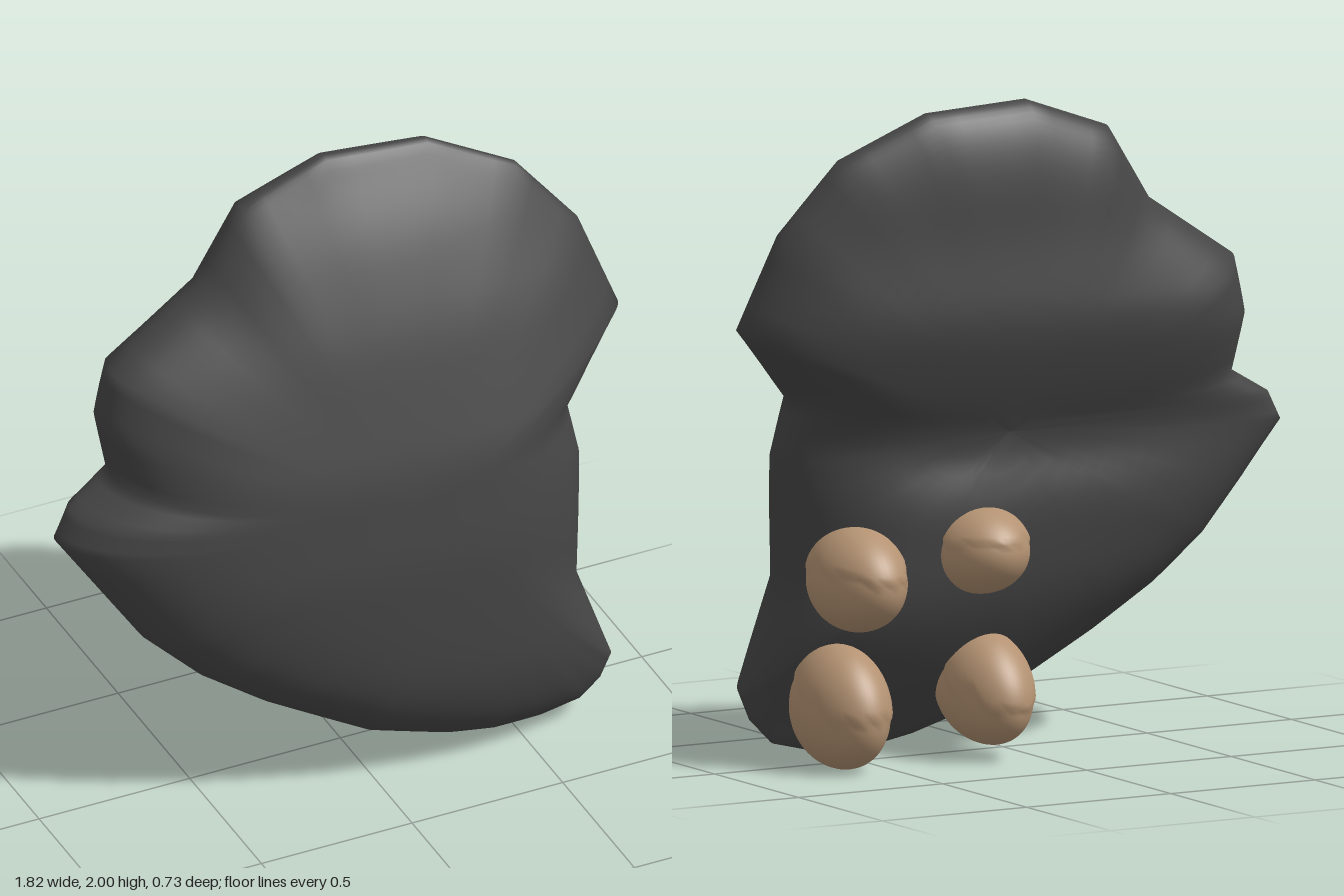
import * as THREE from 'three';

// Piecewise-linear curve through [y, value] pairs
function sample(curve, y) {
  let i = 1;
  while (i < curve.length - 1 && curve[i][0] < y) i++;
  const [y0, a] = curve[i - 1], [y1, b] = curve[i];
  return THREE.MathUtils.lerp(a, b, THREE.MathUtils.clamp((y - y0) / (y1 - y0), 0, 1));
}

// The same curve with its corners rounded
function smooth(curve, y) {
  let sum = 0;
  for (let k = -2; k <= 2; k++) sum += sample(curve, y + k * 0.03);
  return sum / 5;
}

// Slab rim, anticlockwise from the top: x, y, z
const RIM = [[0.03, 2, -0.18], [-0.25, 1.9, -0.18], [-0.4, 1.67, -0.16], [-0.71, 1.47, -0.12], [-0.75, 1.3, -0.11],
  [-0.72, 1.11, -0.1], [-0.86, 1.03, -0.09], [-0.91, 0.94, -0.08], [-0.68, 0.6, 0.03], [-0.52, 0.45, 0.07],
  [-0.33, 0.32, 0.09], [0, 0.13, 0.1], [0.26, 0.05, 0.11], [0.42, 0.02, 0.11], [0.58, 0.02, 0.12],
  [0.71, 0.05, 0.15], [0.77, 0.12, 0.18], [0.8, 0.21, 0.2], [0.7, 0.52, 0.14], [0.74, 0.92, 0.06],
  [0.71, 1.11, 0.02], [0.91, 1.34, 0.02], [0.81, 1.63, -0.05], [0.63, 1.85, -0.1], [0.36, 1.98, -0.16]];
// Depth of the crests of the front and back faces at each height
const FRONT = [[0, 0.35], [0.2, 0.365], [0.35, 0.372], [0.8, 0.355], [1.1, 0.3], [1.5, 0.155], [1.8, 0.02], [2, -0.1]];
const BACK = [[0, 0], [0.1, -0.02], [0.35, -0.15], [0.5, -0.21], [0.78, -0.245], [0.97, -0.205], [1.15, -0.29],
  [1.32, -0.345], [1.6, -0.315], [1.84, -0.315], [2, -0.31]];
// Where the back crest lies in x, and how fast the back falls off to its +x side
const BACK_CREST = [[0.4, 0.25], [1.2, -0.2]];
const BACK_FALL = [[0.5, 0.5], [1.1, 0.15]];

function frontFace(x, y) {
  const d = x - 0.3;
  return smooth(FRONT, y) - (d > 0 ? 0.3 : 0.13) * d * d;
}

function backFace(x, y) {
  const d = x - smooth(BACK_CREST, y);
  return smooth(BACK, y) + (d > 0 ? smooth(BACK_FALL, y) : 0.05) * d * d;
}

// Slab: rings of the rim shrinking to a centre point, lying on the two faces and rounded near the rim
function slabGeometry() {
  const split = 4, steps = 24, cx = 0.1, cy = 1;
  const loop = [];
  RIM.forEach((p, i) => {
    const q = RIM[(i + 1) % RIM.length];
    for (let k = 0; k < split; k++) loop.push(p.map((a, c) => THREE.MathUtils.lerp(a, q[c], k / split)));
  });
  const n = loop.length, positions = [], index = [];
  // Ring angle runs from the front centre over the rim to the back centre
  for (let r = 0; r <= steps * 2; r++) {
    const t = Math.sin(r / steps * Math.PI / 2);
    const face = r < steps ? frontFace : backFace;
    const dome = Math.sqrt(Math.max(0, 1 - t ** 6));
    loop.forEach(([x, y, z], j) => {
      const px = cx + (x - cx) * t, py = cy + (y - cy) * t;
      positions.push(px, py, THREE.MathUtils.lerp(z, face(px, py), dome));
      if (r < steps * 2) {
        const b = r * n + j, c = r * n + (j + 1) % n;
        index.push(b, b + n, c, c, b + n, c + n);
      }
    });
  }
  const g = new THREE.BufferGeometry();
  g.setAttribute('position', new THREE.Float32BufferAttribute(positions, 3));
  g.setIndex(index);
  g.computeVertexNormals();
  return g;
}

// Nub: egg with a blunt end towards +z and a thin ragged cap over its upper side
function nubGeometry(seed) {
  const g = new THREE.SphereGeometry(1, 40, 32);
  const p = g.attributes.position, v = new THREE.Vector3();
  for (let i = 0; i < p.count; i++) {
    v.fromBufferAttribute(p, i);
    const edge = 0.3 + 0.09 * Math.sin(v.z * 9 + seed) + 0.06 * Math.sin(v.x * 14 + seed * 2);
    const cap = v.y > edge ? 1 : 0.96;
    const taper = 1 + 0.1 * v.z;
    p.setXYZ(i, v.x * cap * taper, v.y * cap * taper, v.z * cap);
  }
  g.computeVertexNormals();
  return g;
}

export function createModel() {
  const model = new THREE.Group();
  const dark = new THREE.MeshStandardMaterial({ color: 0x454545 });
  const tan = new THREE.MeshStandardMaterial({ color: 0xb39272 });

  const slab = new THREE.Mesh(slabGeometry(), dark);
  slab.name = 'slab';
  model.add(slab);

  // Four nubs on the lower back: centre, half sizes, pitch
  const nubs = [
    ['upperLeftNub', [0.57, 0.57, -0.12], [0.147, 0.162, 0.192], -0.1],
    ['upperRightNub', [0.19, 0.645, -0.2], [0.152, 0.138, 0.172], 0],
    ['lowerLeftNub', [0.62, 0.18, -0.105], [0.142, 0.188, 0.205], -0.4],
    ['lowerRightNub', [0.13, 0.205, -0.12], [0.14, 0.168, 0.205], -0.45],
  ];
  nubs.forEach(([name, position, size, pitch], i) => {
    const nub = new THREE.Mesh(nubGeometry(i * 1.7), tan);
    nub.name = name;
    nub.position.set(...position);
    nub.scale.set(...size);
    nub.rotation.x = pitch;
    model.add(nub);
  });
  return model;
}
